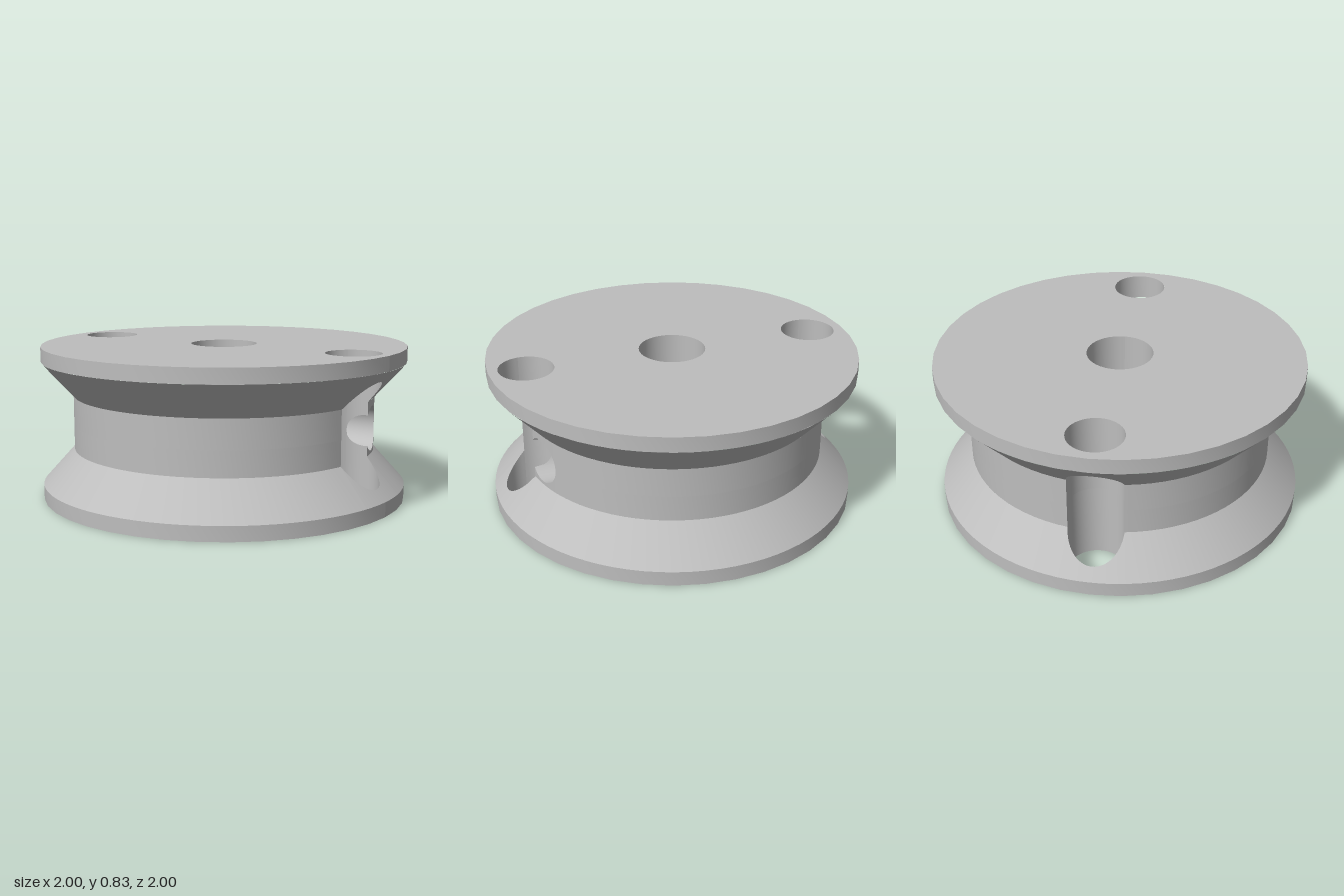
import * as THREE from 'three';

const PI = Math.PI, TAU = PI * 2;
const H = 0.835, RIM = 1, NECK = 0.828;            // overall height, flange and neck radii
const Y = [0.08, 0.27, 0.565, 0.755];              // lower rim, neck bottom, neck top, upper rim
const BORE = 0.18, SIDE_X = 0.8, SIDE_R = 0.147;   // vertical holes
const PIN = { y: 0.408, z: -0.235, r: 0.121, x: 0.35 }; // blind cross hole

// Angle about the axis, and about a side hole, where that hole breaks through the neck
const T0 = Math.acos((NECK ** 2 + SIDE_X ** 2 - SIDE_R ** 2) / (2 * SIDE_X * NECK));
const P0 = Math.acos((NECK * Math.cos(T0) - SIDE_X) / SIDE_R);

const arc = (a, b, n) => Array.from({ length: n + 1 }, (_, i) => a + (b - a) * i / n);
const polar = (r, t, y) => [r * Math.cos(t), y, r * Math.sin(t)];

// Ribbon of quads between two edge curves
function strip(angles, edgeA, edgeB) {
  const pos = [], idx = [];
  angles.forEach((t, i) => {
    pos.push(...edgeA(t), ...edgeB(t));
    if (i) {
      const a = 2 * i - 2;
      idx.push(a, a + 2, a + 1, a + 2, a + 3, a + 1);
    }
  });
  const g = new THREE.BufferGeometry();
  g.setAttribute('position', new THREE.Float32BufferAttribute(pos, 3));
  g.setIndex(idx);
  g.computeVertexNormals();
  return g;
}

// Half height of the cross hole opening at a point in plan
function pinHalf(x, z) {
  const d = PIN.r ** 2 - (z - PIN.z) ** 2;
  return x > 0 && d > 0 ? Math.sqrt(d) : 0;
}

// Inner radius of the sloped faces: the neck, or the far wall of a side hole
function slopeInner(t) {
  const d = SIDE_R ** 2 - (SIDE_X * Math.sin(t)) ** 2;
  if (d <= 0) return NECK;
  return Math.max(NECK, SIDE_X * Math.abs(Math.cos(t)) + Math.sqrt(d));
}
const slopeRise = r => (RIM - r) / (RIM - NECK);
const lowY = r => Y[0] + (Y[1] - Y[0]) * slopeRise(r);
const highY = r => Y[3] - (Y[3] - Y[2]) * slopeRise(r);

export function createModel() {
  const model = new THREE.Group();
  model.name = 'pulley';
  const grey = new THREE.MeshStandardMaterial({ color: 0xbebebe });
  grey.name = 'grey';
  const add = (name, geometry, parent = model) => {
    const m = new THREE.Mesh(geometry, grey);
    m.name = name;
    parent.add(m);
    return m;
  };

  // Flat end faces with three holes
  const face = new THREE.Shape().absarc(0, 0, RIM, 0, TAU, false);
  for (const [x, r] of [[0, BORE], [SIDE_X, SIDE_R], [-SIDE_X, SIDE_R]])
    face.holes.push(new THREE.Path().absarc(x, 0, r, 0, TAU, true));
  add('topFace', new THREE.ShapeGeometry(face, 20).rotateX(-PI / 2).translate(0, H, 0));
  add('bottomFace', new THREE.ShapeGeometry(face, 20).rotateX(PI / 2));

  // Flange rims and central bore
  const ring = arc(0, TAU, 40);
  add('lowerRim', strip(ring, t => polar(RIM, t, Y[0]), t => polar(RIM, t, 0)));
  add('upperRim', strip(ring, t => polar(RIM, t, H), t => polar(RIM, t, Y[3])));
  add('centreBore', strip(ring, t => polar(BORE, t, 0), t => polar(BORE, t, H)));

  // Sloped groove faces, notched by the side holes
  const slope = [
    ...arc(-T0, T0, 24), ...arc(T0, PI - T0, 36),
    ...arc(PI - T0, PI + T0, 24), ...arc(PI + T0, TAU - T0, 36)];
  add('lowerSlope', strip(slope,
    t => polar(slopeInner(t), t, lowY(slopeInner(t))), t => polar(RIM, t, Y[0])));
  add('upperSlope', strip(slope,
    t => polar(RIM, t, Y[3]), t => polar(slopeInner(t), t, highY(slopeInner(t)))));

  // Neck wall, in a lower and an upper half that part around the cross hole
  const neck = new THREE.Group();
  neck.name = 'neck';
  model.add(neck);
  const pinEdge = TAU - Math.asin((PIN.r - PIN.z) / NECK);
  const neckGap = t => pinHalf(NECK * Math.cos(t), NECK * Math.sin(t));
  for (const a of [arc(T0, PI - T0, 36),
    [...arc(PI + T0, pinEdge, 32), ...arc(pinEdge, TAU - T0, 40)]]) {
    add('neckLower', strip(a, t => polar(NECK, t, PIN.y - neckGap(t)), t => polar(NECK, t, Y[1])), neck);
    add('neckUpper', strip(a, t => polar(NECK, t, Y[2]), t => polar(NECK, t, PIN.y + neckGap(t))), neck);
  }

  // Side holes: closed on the inside of the neck, open to the groove outside
  for (const s of [1, -1]) {
    const hole = new THREE.Group();
    hole.name = s > 0 ? 'leftSideHole' : 'rightSideHole';
    model.add(hole);
    const at = (p, y) => [s * (SIDE_X + SIDE_R * Math.cos(p)), y, s * SIDE_R * Math.sin(p)];
    const gap = p => { const q = at(p, 0); return pinHalf(q[0], q[2]); };
    const radius = p => Math.hypot(at(p, 0)[0], at(p, 0)[2]);
    const cut = PI + Math.asin(-(PIN.z + PIN.r) / SIDE_R);
    const inner = [...arc(P0, cut, 24), ...arc(cut, TAU - P0, 24)];
    const outer = arc(-P0, P0, 24);
    add('innerWallLower', strip(inner, p => at(p, 0), p => at(p, PIN.y - gap(p))), hole);
    add('innerWallUpper', strip(inner, p => at(p, PIN.y + gap(p)), p => at(p, H)), hole);
    add('outerWallLower', strip(outer, p => at(p, 0), p => at(p, lowY(radius(p)))), hole);
    add('outerWallUpper', strip(outer, p => at(p, highY(radius(p))), p => at(p, H)), hole);
  }

  // Blind cross hole, ending at the neck or at the side hole it clips
  const edgeZ = -NECK * Math.sin(T0);
  const k = Math.acos((edgeZ - PIN.z) / PIN.r);
  const pinAt = (a, x) => [x, PIN.y + PIN.r * Math.sin(a), PIN.z + PIN.r * Math.cos(a)];
  const mouth = a => {
    const z = PIN.z + PIN.r * Math.cos(a);
    return z > edgeZ ? SIDE_X - Math.sqrt(Math.max(0, SIDE_R ** 2 - z * z))
      : Math.sqrt(NECK ** 2 - z * z);
  };
  add('crossHoleWall', strip([...arc(-k, k, 24), ...arc(k, TAU - k, 40)],
    a => pinAt(a, PIN.x), a => pinAt(a, mouth(a))));
  add('crossHoleEnd', new THREE.CircleGeometry(PIN.r, 40)
    .rotateY(PI / 2).translate(PIN.x, PIN.y, PIN.z));

  return model;
}
